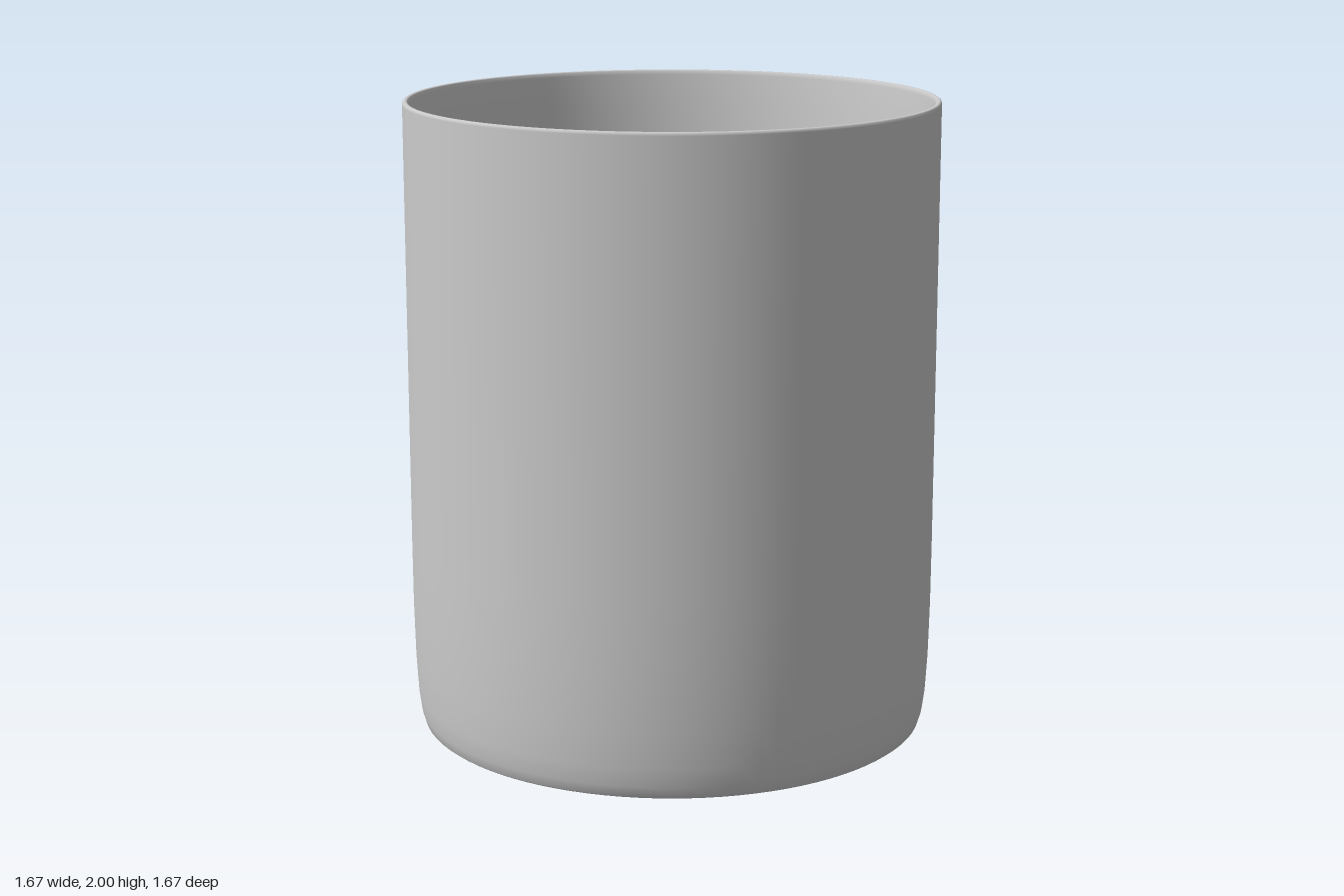
import * as THREE from 'three';
import { mergeVertices } from 'three/addons/utils/BufferGeometryUtils.js';

const grey = new THREE.MeshStandardMaterial({ color: 0xcccccc });
const amber = new THREE.MeshStandardMaterial({ color: 0xa97e53 });

function part(name, geometry, material = grey) {
  const mesh = new THREE.Mesh(geometry, material);
  mesh.name = name;
  return mesh;
}

// Tumbler: domed underside, soft foot, straight wall, thin lip, hollow inside
function glassGeometry() {
  const points = [];
  const rim = 0.78, depth = 0.32;
  const domeRadius = (rim ** 2 + depth ** 2) / (2 * depth);
  for (let i = 0; i <= 16; i++) {
    const r = (i / 16) * rim;
    points.push([r, Math.sqrt(domeRadius ** 2 - r ** 2) - domeRadius + depth]);
  }
  points.push(
    [0.783, 0], [0.797, 0], [0.805, 0.006], [0.815, 0.04], [0.823, 0.1], [0.83, 0.22],
    [0.834, 0.4], [0.835, 0.6], [0.835, 1.0], [0.835, 1.4], [0.835, 1.99], [0.833, 1.997],
    [0.829, 2], [0.822, 2], [0.818, 1.997], [0.815, 1.985], [0.808, 1.88], [0.8, 1.7],
    [0.79, 1.4], [0.78, 1.1], [0.775, 0.6], [0.76, 0.46], [0.7, 0.4], [0, 0.4]
  );
  return new THREE.LatheGeometry(points.map(([x, y]) => new THREE.Vector2(x, y)), 96);
}

// Ice cube: rounded edges, sides pinched in slightly at the middle
function iceGeometry(size) {
  const half = size / 2, radius = 0.035, pinch = 0.03;
  const box = new THREE.BoxGeometry(size, size, size, 24, 24, 24);
  box.deleteAttribute('normal');
  box.deleteAttribute('uv');
  const geometry = mergeVertices(box);
  const pos = geometry.attributes.position;
  const p = new THREE.Vector3(), q = new THREE.Vector3();
  for (let i = 0; i < pos.count; i++) {
    p.fromBufferAttribute(pos, i);
    q.copy(p).clampScalar(radius - half, half - radius);
    p.sub(q).setLength(radius).add(q);
    const [fx, fy, fz] = p.toArray().map((c) => 1 - (c / half) ** 2);
    p.x *= 1 - pinch * Math.max(fy, fz);
    p.y *= 1 - pinch * Math.max(fx, fz);
    p.z *= 1 - pinch * Math.max(fx, fy);
    pos.setXYZ(i, p.x, p.y, p.z);
  }
  geometry.computeVertexNormals();
  return geometry;
}

// Places a cube by its upper corner and the directions of two edges leaving it
function iceCube(name, size, corner, edgeA, edgeB) {
  const a = new THREE.Vector3(...edgeA).normalize();
  const c = a.clone().cross(new THREE.Vector3(...edgeB)).normalize();
  const b = c.clone().cross(a);
  const mesh = part(name, iceGeometry(size));
  mesh.quaternion.setFromRotationMatrix(new THREE.Matrix4().makeBasis(a, b, c));
  mesh.position.set(...corner).addScaledVector(a.add(b).add(c), size / 2);
  return mesh;
}

export function createModel() {
  const model = new THREE.Group();
  model.name = 'tumblerWithIce';

  model.add(part('glass', glassGeometry()));

  const liquid = part('liquid', new THREE.CylinderGeometry(0.783, 0.77, 0.65, 96), amber);
  liquid.position.y = 0.825;
  model.add(liquid);

  model.add(
    iceCube('iceCubeBack', 0.55, [-0.515, 1.61, -0.395], [0.19, -0.25, -0.45], [0.47, 0, 0.19]),
    iceCube('iceCubeFront', 0.55, [-0.18, 1.51, 0.205], [-0.1, -0.18, 0.46], [-0.34, -0.315, -0.2]),
    iceCube('iceCubeSide', 0.555, [-0.02, 1.32, -0.095], [0.32, -0.03, -0.42], [0.41, -0.02, 0.33])
  );
  return model;
}
